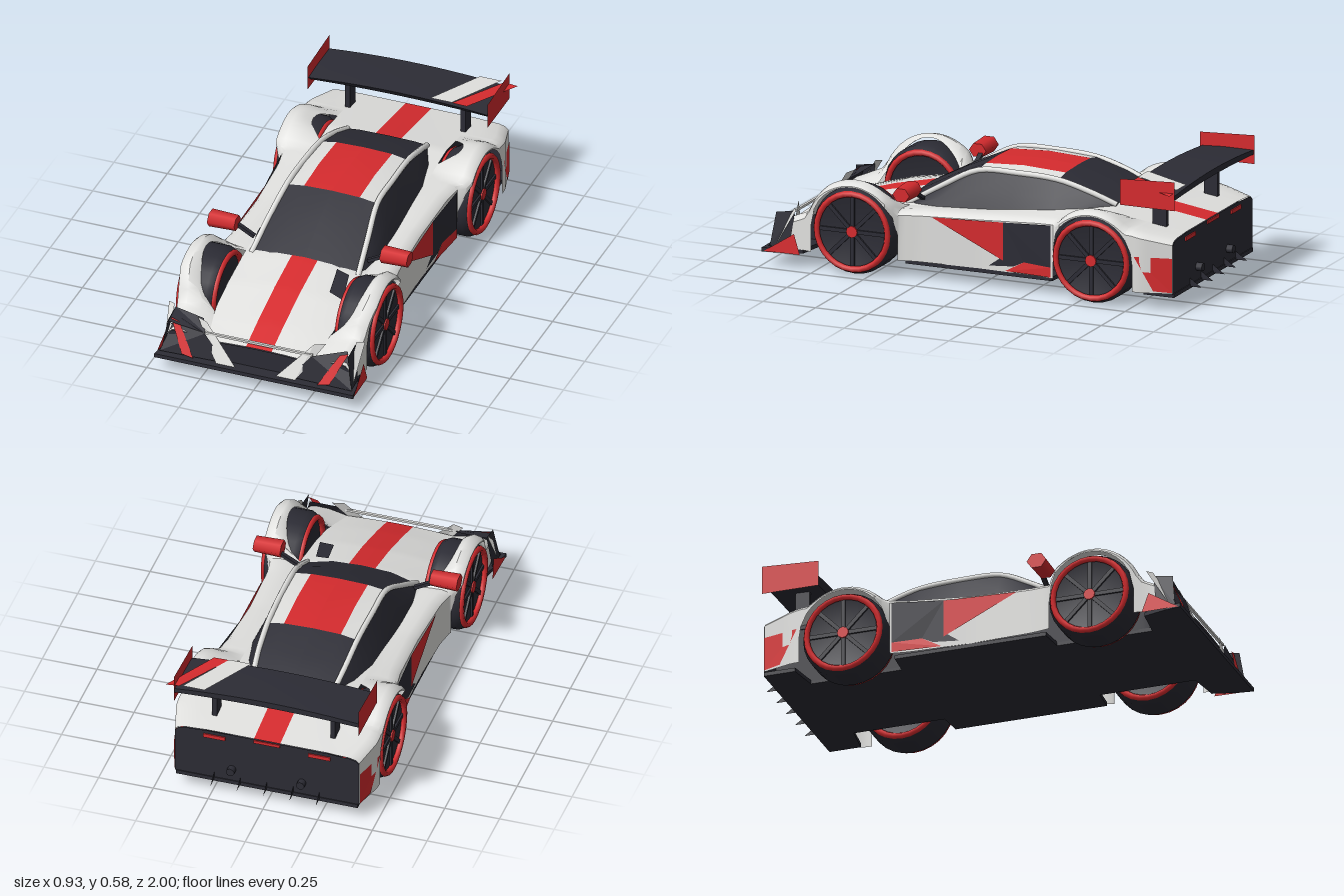
import * as THREE from 'three';
import { toCreasedNormals } from 'three/addons/utils/BufferGeometryUtils.js';

const mat = (name, color) => new THREE.MeshStandardMaterial({ name, color, side: THREE.DoubleSide });
const white = mat('white paint', 0xe0e0de);
const red = mat('red paint', 0xd62b2e);
const dark = mat('dark carbon', 0x2c2c35);

// Linear lookup in a short table of [z, value], ordered by falling z
function look(t, z) {
  if (z >= t[0][0]) return t[0][1];
  for (let i = 1; i < t.length; i++) {
    const [a, va] = t[i - 1], [b, vb] = t[i];
    if (z >= b) return va + (vb - va) * (a - z) / (a - b);
  }
  return t[t.length - 1][1];
}

// Body curves along z: centre line, deck edge, shoulder and outer width
const centreT = [[0.94, 0.175], [0.8, 0.225], [0.6, 0.285], [0.4, 0.33], [-0.3, 0.36], [-0.57, 0.38], [-0.94, 0.325]];
const edgeT = [[0.94, 0.165], [0.8, 0.205], [0.6, 0.26], [0.4, 0.295], [0, 0.32], [-0.57, 0.375], [-0.94, 0.325]];
const deckT = [[0.94, 0.24], [0.75, 0.275], [0.4, 0.28], [-0.94, 0.275]];
const shoulderT = [[0.94, 0.19], [0.8, 0.25], [0.36, 0.305], [0, 0.32], [-0.36, 0.345], [-0.75, 0.355], [-0.94, 0.32]];
const outerT = [[0.94, 0.42], [0.85, 0.425], [0.78, 0.44], [0.7, 0.46], [0.415, 0.455], [0.37, 0.41], [0.28, 0.395],
  [0, 0.385], [-0.28, 0.395], [-0.37, 0.41], [-0.405, 0.46], [-0.8, 0.46], [-0.94, 0.42]];
const AXLES = [0.575, -0.565];
const AXLE_Y = 0.195;

const arch = (z, r) => Math.max(0, ...AXLES.map(c => Math.abs(z - c) <= r ? AXLE_Y + Math.sqrt(r * r - (z - c) ** 2) : 0));

// Half cross-section: deck points, fender points and the inner wall
function section(z) {
  const cy = look(centreT, z), ey = look(edgeT, z), dx = look(deckT, z), ox = look(outerT, z);
  const fy = Math.max(look(shoulderT, z), arch(z, 0.226));
  const deck = [0, 0.06, 0.12, 0.18, 0.23, 1].map(x => {
    const px = Math.min(x, dx);
    return [px, cy + (ey - cy) * (px / dx) ** 2, z];
  });
  // lens-shaped opening above each wheel
  const lens = (c, r) => Math.sqrt(Math.max(0, 1 - ((z - c) / r) ** 2));
  const f = lens(AXLES[0] + 0.01, 0.185), r = lens(AXLES[1] - 0.01, 0.085);
  const inner = [dx + f * 0.11 + r * 0.07, ey + f * (fy - 0.012 - ey) + r * (0.395 - ey), z];
  const sill = Math.max(0.08, arch(z, 0.2));
  const sideTop = Math.max(fy - 0.022, sill + 0.006);
  const mid = [(inner[0] + ox - 0.05) / 2, inner[1] * 0.4 + fy * 0.6, z];
  return { deck, fender: [inner, mid, [ox - 0.045, fy, z], [ox - 0.015, (fy * 2 + sideTop) / 3, z], [ox, sideTop, z], [ox, sill, z]],
    wall: [deck[5], [dx - 0.005, 0.075, z]] };
}

export function createModel() {
  const car = new THREE.Group();
  car.name = 'raceCar';

  const add = (name, geo, m, x = 0, y = 0, z = 0, parent = car) => {
    const mesh = new THREE.Mesh(geo, m);
    mesh.name = name;
    mesh.position.set(x, y, z);
    parent.add(mesh);
    return mesh;
  };
  const box = (name, m, w, h, d, x, y, z) => add(name, new THREE.BoxGeometry(w, h, d), m, x, y, z);

  // Skin between rows of points; s mirrors x
  const loft = (name, m, rows, s = 1) => {
    const n = rows[0].length, pos = rows.flat().flatMap(([x, y, z]) => [x * s, y, z]), idx = [];
    for (let i = 0; i < rows.length - 1; i++) for (let j = 0; j < n - 1; j++) {
      const a = i * n + j, b = a + n;
      if (s > 0) idx.push(a, b, a + 1, a + 1, b, b + 1);
      else idx.push(a, a + 1, b, a + 1, b + 1, b);
    }
    const g = new THREE.BufferGeometry();
    g.setAttribute('position', new THREE.Float32BufferAttribute(pos, 3));
    g.setIndex(idx);
    return add(name, toCreasedNormals(g, 0.6), m);
  };
  // Thin convex plate from a loop of points
  const plate = (name, m, pts, s = 1) => {
    const g = new THREE.BufferGeometry();
    const tri = [];
    for (let i = 1; i < pts.length - 1; i++) tri.push(pts[0], ...(s > 0 ? [pts[i], pts[i + 1]] : [pts[i + 1], pts[i]]));
    g.setAttribute('position', new THREE.Float32BufferAttribute(tri.flatMap(([x, y, z]) => [x * s, y, z]), 3));
    g.computeVertexNormals();
    return add(name, g, m);
  };
  const outline = pts => new THREE.Shape([...pts, ...pts.map(([x, y]) => [-x, y]).reverse()].map(p => new THREE.Vector2(...p)));

  // Body skin
  const zs = [];
  for (let i = 0; i <= 72; i++) zs.push(0.94 - 1.88 * i / 72);
  for (const c of AXLES) for (const e of [-0.2, 0.2]) zs.push(c + e * 0.9999, c + e * 1.005);
  zs.sort((a, b) => b - a);
  const secs = zs.map(section);
  for (const s of [1, -1]) {
    loft('centreStripe', red, secs.map(q => q.deck.slice(0, 2)), s);
    loft('deck', white, secs.map(q => q.deck.slice(1)), s);
    loft('fenderAndSide', white, secs.map(q => q.fender), s);
    loft('wheelWellWall', dark, secs.map(q => q.wall), s);
  }
  for (const [name, z] of [['frontFascia', 0.941], ['rearFascia', -0.941]]) {
    const q = section(z);
    add(name, new THREE.ShapeGeometry(outline([...q.deck, ...q.fender].map(p => [p[0], p[1] - 0.003]))), dark, 0, 0, z);
  }

  // Floor with front splitter
  const floor = new THREE.ExtrudeGeometry(outline([[0, 1], [0.465, 1], [0.455, 0.93], [0.425, 0.82], [0.27, 0.8], [0.27, 0.36],
    [0.385, 0.35], [0.385, -0.35], [0.27, -0.36], [0.27, -0.78], [0.415, -0.8], [0.415, -0.945], [0, -0.945]]), { depth: 0.018, bevelEnabled: false });
  floor.rotateX(Math.PI / 2);
  add('floor', floor, dark, 0, 0.08, 0);

  // Cabin: centre, roof stripe edge, roof edge, window base
  const cab = [[0.4, 0.332, 0.325, 0.25, 0.295, 0.265, 0.285], [0.24, 0.415, 0.41, 0.232, 0.39, 0.285, 0.3],
    [0.08, 0.486, 0.482, 0.212, 0.47, 0.285, 0.315], [-0.1, 0.496, 0.492, 0.21, 0.478, 0.283, 0.32], [-0.3, 0.486, 0.482, 0.205, 0.468, 0.28, 0.335],
    [-0.45, 0.44, 0.437, 0.198, 0.428, 0.25, 0.35], [-0.57, 0.39, 0.388, 0.185, 0.382, 0.195, 0.36]];
  const rows = cab.map(([z, cy, sy, ex, ey, bx, by]) => [[0, cy, z], [0.13, sy, z], [ex, ey, z], [bx * 0.6 + ex * 0.4, by * 0.55 + ey * 0.45, z], [bx, by, z]]);
  for (const s of [1, -1]) {
    loft('windshield', dark, rows.slice(0, 3).map(r => r.slice(0, 3)), s);
    loft('roofStripe', red, rows.slice(2, 5).map(r => r.slice(0, 2)), s);
    loft('roof', white, rows.slice(2, 5).map(r => r.slice(1, 3)), s);
    loft('rearWindow', dark, rows.slice(4).map(r => r.slice(0, 3)), s);
    loft('sideWindow', dark, rows.map(r => r.slice(2)), s);
    const rail = new THREE.CatmullRomCurve3(rows.map(r => new THREE.Vector3(r[2][0] * s, r[2][1], r[2][2])));
    add('roofRail', new THREE.TubeGeometry(rail, 28, 0.013, 8), white);

    // Mirror and its arm
    const m = add('mirror', new THREE.CylinderGeometry(0.05, 0.045, 0.125, 6), red, s * 0.403, 0.39, 0.335);
    m.rotation.z = Math.PI / 2;
    m.scale.set(0.75, 1, 0.9);
    const arm = box('mirrorArm', dark, 0.1, 0.015, 0.02, s * 0.31, 0.355, 0.32);
    arm.rotation.z = s * 0.5;

    // Side livery, given as [z, y] on the door
    const livery = (name, paint, pts) => plate(name, paint, pts.map(([z, y]) => [look(outerT, z) + 0.004, y, z]), s);
    livery('doorWedge', red, [[0.22, 0.288], [-0.12, 0.302], [-0.12, 0.13]]);
    livery('doorPanel', dark, [[-0.12, 0.302], [-0.355, 0.32], [-0.355, 0.13], [-0.22, 0.135], [-0.12, 0.15]]);
    livery('sillSlash', dark, [[-0.12, 0.15], [-0.22, 0.135], [-0.17, 0.11], [-0.05, 0.1]]);
    livery('sillWedge', red, [[-0.13, 0.085], [-0.22, 0.135], [-0.355, 0.13], [-0.355, 0.085]]);
    livery('rearSidePatch', red, [[-0.775, 0.24], [-0.94, 0.24], [-0.94, 0.085], [-0.86, 0.09]]);

    // Front corner pieces
    plate('frontCornerPanel', dark, [[0.25, 0.2, 0.945], [0.4, 0.235, 0.9], [0.45, 0.085, 0.975], [0.15, 0.085, 0.965]], s);
    plate('noseBar', white, [[0.25, 0.245, 0.92], [0.3, 0.25, 0.9], [0.185, 0.082, 0.978], [0.095, 0.082, 0.978]], s);
    plate('cornerSlash', red, [[0.375, 0.225, 0.93], [0.415, 0.237, 0.925], [0.345, 0.095, 0.98], [0.29, 0.085, 0.982]], s);
    plate('cornerBlade', white, [[0.425, 0.265, 0.86], [0.458, 0.26, 0.84], [0.44, 0.08, 0.95], [0.415, 0.08, 0.97]], s);
    plate('cornerFin', dark, [[0.42, 0.25, 0.86], [0.42, 0.235, 0.95], [0.445, 0.085, 0.97], [0.44, 0.085, 0.88]], s);
    plate('splitterEndplate', red, [[0.464, 0.065, 0.99], [0.455, 0.155, 0.85], [0.46, 0.065, 0.82]], s);

    // Rear wing mounts, end plates, lights and exhausts
    box('wingMount', dark, 0.022, 0.18, 0.065, s * 0.27, 0.415, -0.815);
    plate('wingEndplate', red, [[0.421, 0.455, -0.69], [0.421, 0.455, -0.95], [0.421, 0.585, -0.95], [0.421, 0.572, -0.69]], s);
    box('tailLight', red, 0.1, 0.018, 0.008, s * 0.24, 0.296, -0.943);
    const pipe = add('exhaust', new THREE.CylinderGeometry(0.019, 0.019, 0.05, 10), dark, s * 0.16, 0.14, -0.945);
    pipe.rotation.x = Math.PI / 2;
  }
  box('noseStrip', white, 0.5, 0.01, 0.012, 0, 0.2, 0.935);
  box('tailStripe', red, 0.12, 0.014, 0.008, 0, 0.313, -0.943);

  // Small asymmetric paint accents
  const onDeck = (x, z) => {
    const cy = look(centreT, z);
    return [x, cy + (look(edgeT, z) - cy) * (x / look(deckT, z)) ** 2 + 0.006, z];
  };
  plate('hoodAccent', dark, [onDeck(0.16, 0.42), onDeck(0.22, 0.43), onDeck(0.25, 0.58), onDeck(0.18, 0.56)]);
  plate('cornerAccent', dark, [[-0.42, 0.25, 0.86], [-0.28, 0.235, 0.88], [-0.25, 0.2, 0.94], [-0.42, 0.225, 0.945]]);

  // Diffuser fins
  for (let i = -2; i <= 2; i++)
    plate('diffuserFin', dark, [[i * 0.12, 0.07, -0.94], [i * 0.12, 0.07, -0.998], [i * 0.12, 0.11, -0.94]]);

  // Gently arched wing with painted slashes
  const wing = [];
  for (let i = 0; i <= 12; i++) {
    const x = -0.42 + 0.07 * i, k = 1 - (x / 0.42) ** 2, top = 0.518 + 0.02 * k, low = 0.492 + 0.012 * k;
    wing.push([[x, top - 0.006, -0.7], [x, top, -0.8], [x, top, -0.945], [x, low + 0.006, -0.945], [x, low, -0.72], [x, top - 0.006, -0.7]]);
  }
  loft('wing', dark, wing);
  for (const r of [wing[0], wing[12]]) plate('wingTip', dark, r.slice(0, 5));
  plate('wingSlash', white, [[0.15, 0.54, -0.7], [0.25, 0.54, -0.7], [0.385, 0.54, -0.944], [0.285, 0.54, -0.944]]);
  plate('wingSlash', red, [[0.25, 0.538, -0.7], [0.32, 0.536, -0.7], [0.462, 0.53, -0.944], [0.4, 0.536, -0.944]]);

  // Wheels: tyre, rims on both faces, spokes and hub
  const tyreGeo = new THREE.LatheGeometry([[0, -0.07], [0.16, -0.07], [0.18, -0.078], [0.195, -0.05], [0.195, 0.05], [0.18, 0.078], [0.16, 0.07], [0, 0.07]]
    .map(p => new THREE.Vector2(...p)), 28);
  const tyre = toCreasedNormals(tyreGeo, 0.6);
  const rim = new THREE.TorusGeometry(0.169, 0.014, 6, 28).rotateX(Math.PI / 2);
  const spoke = new THREE.BoxGeometry(0.15, 0.01, 0.018).translate(0.085, 0, 0);
  const hub = new THREE.CylinderGeometry(0.026, 0.026, 0.02, 12);
  for (const s of [1, -1]) for (const z of AXLES) {
    const wheel = new THREE.Group();
    wheel.name = 'wheel';
    wheel.position.set(s * 0.371, AXLE_Y, z);
    wheel.rotation.z = -s * Math.PI / 2;
    add('tyre', tyre, dark, 0, 0, 0, wheel);
    for (const f of [1, -1]) add('rim', rim, red, 0, f * 0.079, 0, wheel);
    for (let i = 0; i < 8; i++) add('spoke', spoke, dark, 0, 0.074, 0, wheel).rotation.y = i * Math.PI / 4;
    add('hub', hub, red, 0, 0.075, 0, wheel);
    car.add(wheel);
  }
  return car;
}
